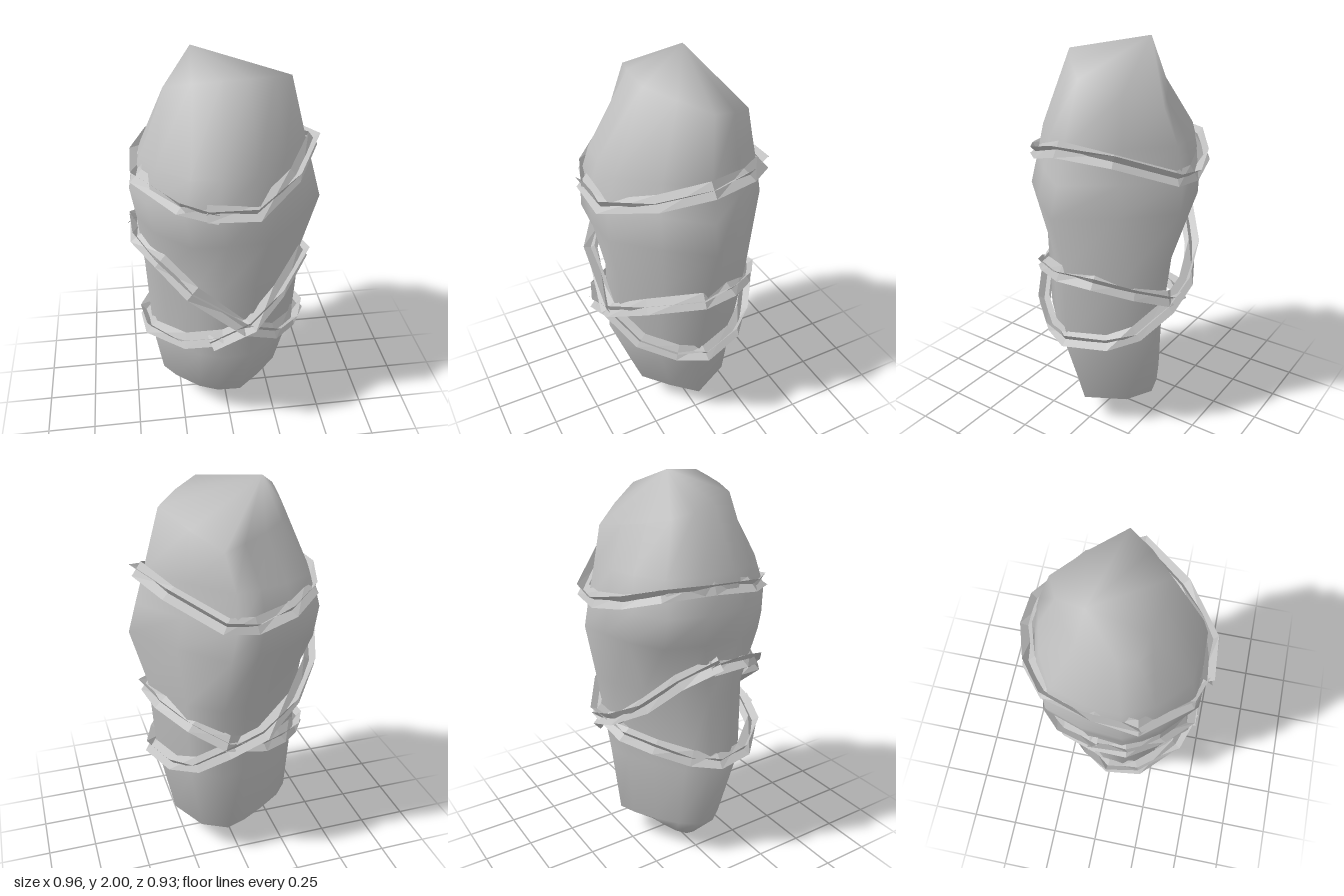
import * as THREE from 'three';

const grey = new THREE.MeshStandardMaterial({ color: 0xc0c0c0 });
const strapGrey = new THREE.MeshStandardMaterial({ color: 0xc0c0c0, side: THREE.DoubleSide });
grey.name = 'stone grey';
strapGrey.name = 'strap grey';

// Irregular outlines of the body seen from above, as [x, z] in -1..1
const LOWER = [
  [1, 0.07], [0.66, 0.54], [0.27, 0.98], [-0.12, 1], [-0.42, 0.87], [-0.8, 0.52], [-1, 0.22],
  [-0.97, -0.1], [-0.75, -0.4], [-0.37, -0.68], [0, -0.9], [0.3, -1], [0.69, -0.7],
];
const UPPER = [
  [1, 0.07], [0.66, 0.54], [0.27, 0.98], [-0.14, 1], [-0.48, 0.98], [-0.84, 0.62], [-1, 0.25],
  [-0.97, -0.2], [-0.84, -0.62], [-0.48, -0.84], [-0.14, -0.93], [0.17, -1], [0.61, -0.5],
];
const TOP = [
  [1, 0.17], [0.65, 0.6], [0.22, 1], [-0.17, 0.94], [-0.6, 0.86], [-1, 0.74], [-1, 0.42],
  [-0.98, 0.05], [-0.82, -0.3], [-0.5, -0.56], [-0.1, -0.8], [0.27, -1], [0.66, -0.45],
];

// Cross-sections: outline, y, xMin, xMax, zMin, zMax, slope of y along x, slope of y along z
const SECTIONS = [
  [LOWER, 0.085, -0.2, 0.17, -0.14, 0.12, 0.17, 0],
  [LOWER, 0.18, -0.345, 0.29, -0.28, 0.245, -0.08, 0],
  [LOWER, 0.53, -0.39, 0.365, -0.31, 0.37, 0, 0],
  [LOWER, 0.96, -0.41, 0.4, -0.37, 0.37, 0, 0],
  [UPPER, 1.25, -0.435, 0.48, -0.43, 0.43, 0, 0],
  [UPPER, 1.4, -0.46, 0.44, -0.42, 0.41, 0, 0],
  [UPPER, 1.56, -0.4, 0.395, -0.385, 0.37, 0, 0],
  [TOP, 1.86, -0.28, 0.32, -0.33, 0.2, 0.05, 0.4],
];

// Smooth lumpy body: rings closed by a low and a high point
function makeBody() {
  const n = LOWER.length, pos = [], index = [];
  for (const [outline, y, x0, x1, z0, z1, sx, sz] of SECTIONS) {
    for (const [u, v] of outline) {
      const x = (x0 + x1) / 2 + u * (x1 - x0) / 2;
      const z = (z0 + z1) / 2 + v * (z1 - z0) / 2;
      pos.push(x, y + sx * x + sz * z, z);
    }
  }
  const rows = SECTIONS.length, low = rows * n, high = low + 1;
  pos.push(0.04, 0, -0.02, -0.14, 2, -0.11);
  for (let i = 0; i < n; i++) {
    const j = (i + 1) % n, top = (rows - 1) * n;
    index.push(low, i, j, high, top + j, top + i);
    for (let r = 0; r < rows - 1; r++) {
      const a = r * n + i, b = r * n + j;
      index.push(a, a + n, b, b, a + n, b + n);
    }
  }
  const geo = new THREE.BufferGeometry();
  geo.setAttribute('position', new THREE.Float32BufferAttribute(pos, 3));
  geo.setIndex(index);
  geo.computeVertexNormals();
  return new THREE.Mesh(geo, grey);
}

// Strap made of two long strips crossing at a right angle, faceted
function makeStrap(points, half, turn) {
  const pos = [];
  const rows = points.map((p, i) => {
    const c = new THREE.Vector3(...p);
    const prev = new THREE.Vector3(...points[Math.max(i - 1, 0)]);
    const next = new THREE.Vector3(...points[Math.min(i + 1, points.length - 1)]);
    const along = next.sub(prev).normalize();
    const out = new THREE.Vector3(c.x, 0, c.z).normalize();
    const up = new THREE.Vector3().crossVectors(out, along).normalize();
    out.crossVectors(along, up).normalize();
    return [0, Math.PI / 2].map((q) => {
      const a = turn + q + 0.25 * Math.sin(i * 1.9);
      const d = out.clone().multiplyScalar(Math.cos(a) * half).addScaledVector(up, Math.sin(a) * half);
      return [c.clone().add(d), c.clone().sub(d)];
    });
  });
  for (let i = 0; i < rows.length - 1; i++) {
    for (let s = 0; s < 2; s++) {
      const [a, b] = rows[i][s], [c, d] = rows[i + 1][s];
      for (const v of [a, b, c, c, b, d]) pos.push(v.x, v.y, v.z);
    }
  }
  const geo = new THREE.BufferGeometry();
  geo.setAttribute('position', new THREE.Float32BufferAttribute(pos, 3));
  geo.computeVertexNormals();
  return new THREE.Mesh(geo, strapGrey);
}

// Each strap starts and ends with a short overlap
const STRAPS = {
  upperStrap: [
    [-0.13, 1.43, 0.43], [0.09, 1.41, 0.425], [0.3, 1.49, 0.24], [0.425, 1.57, 0.03], [0.33, 1.53, -0.21],
    [0.12, 1.43, -0.42], [-0.02, 1.42, -0.43], [-0.2, 1.45, -0.38], [-0.34, 1.5, -0.27],
    [-0.41, 1.52, -0.03], [-0.425, 1.5, 0.17], [-0.24, 1.44, 0.37], [-0.07, 1.41, 0.42],
  ],
  middleStrap: [
    [-0.44, 1.14, -0.06], [-0.44, 1.14, 0.12], [-0.34, 1.09, 0.27], [-0.2, 0.97, 0.39], [0.05, 0.75, 0.41],
    [0.22, 0.63, 0.31], [0.34, 0.58, 0.16], [0.4, 0.57, 0.03], [0.33, 0.58, -0.17], [0.23, 0.62, -0.28],
    [0.1, 0.74, -0.38], [-0.08, 0.81, -0.38], [-0.26, 0.94, -0.31], [-0.38, 1.08, -0.2], [-0.45, 1.16, -0.02],
  ],
  lowerStrap: [
    [-0.12, 0.68, 0.42], [0.08, 0.765, 0.41], [0.24, 0.86, 0.28], [0.41, 0.94, 0.05], [0.37, 0.92, -0.12],
    [0.25, 0.86, -0.28], [0.1, 0.79, -0.385], [-0.1, 0.72, -0.34], [-0.23, 0.68, -0.24], [-0.35, 0.63, -0.1],
    [-0.42, 0.61, 0.02], [-0.4, 0.62, 0.18], [-0.24, 0.66, 0.36], [-0.06, 0.71, 0.42],
  ],
};

export function createModel() {
  const model = new THREE.Group();
  model.name = 'wrappedBoulder';
  const body = makeBody();
  body.name = 'body';
  model.add(body);
  for (const [name, points] of Object.entries(STRAPS)) {
    const strap = makeStrap(points, 0.041, 0.75);
    strap.name = name;
    model.add(strap);
  }
  return model;
}
